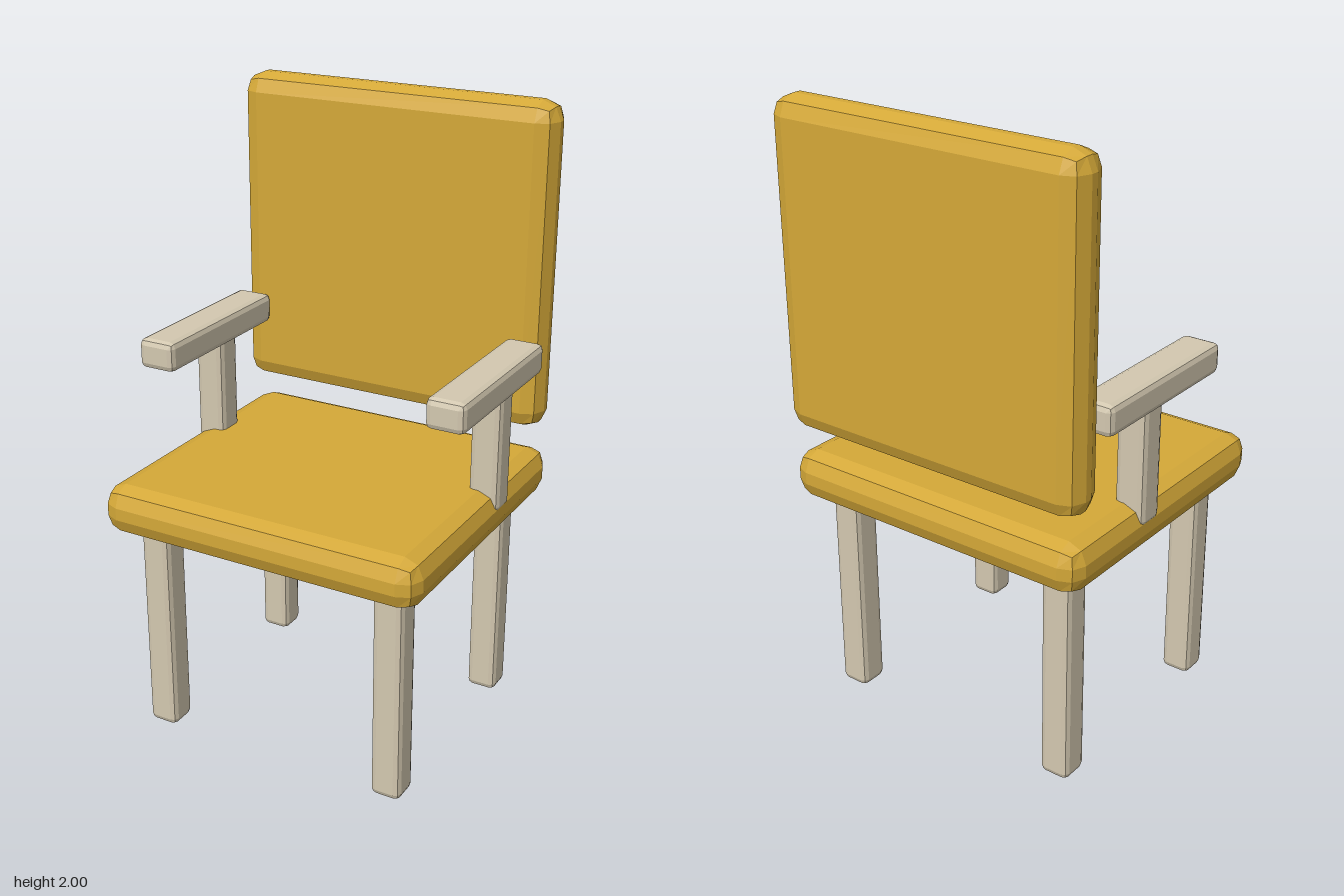
import * as THREE from 'three';
import { RoundedBoxGeometry } from 'three/addons/geometries/RoundedBoxGeometry.js';

export function createModel() {
  const chair = new THREE.Group();
  chair.name = 'armchair';

  const cushion = new THREE.MeshStandardMaterial({ color: 0xd4a838, flatShading: true });
  cushion.name = 'mustard cushion';
  const frame = new THREE.MeshStandardMaterial({ color: 0xd3c8b0, flatShading: true });
  frame.name = 'beige frame';

  // Bevelled block spanning [min, max] on each axis
  function block(name, material, [x0, x1], [y0, y1], [z0, z1], bevel) {
    const geometry = new RoundedBoxGeometry(x1 - x0, y1 - y0, z1 - z0, 1, bevel);
    const mesh = new THREE.Mesh(geometry, material);
    mesh.position.set((x0 + x1) / 2, (y0 + y1) / 2, (z0 + z1) / 2);
    mesh.name = name;
    chair.add(mesh);
  }

  // Cushions
  block('seat', cushion, [-0.543, 0.543], [0.71, 0.87], [-0.493, 0.497], 0.06);
  block('backrest', cushion, [-0.543, 0.543], [0.955, 2], [-0.5, -0.355], 0.06);

  // Legs, armrest posts and armrests, mirrored left and right
  for (const [side, s] of [['left', 1], ['right', -1]]) {
    const span = (a, b) => (s > 0 ? [a, b] : [-b, -a]);
    block(side + 'FrontLeg', frame, span(0.362, 0.462), [0, 0.77], [0.305, 0.405], 0.02);
    block(side + 'BackLeg', frame, span(0.362, 0.462), [0, 0.77], [-0.402, -0.302], 0.02);
    block(side + 'ArmPost', frame, span(0.447, 0.547), [0.8, 1.22], [-0.155, -0.055], 0.02);
    block(side + 'Armrest', frame, span(0.433, 0.559), [1.172, 1.27], [-0.35, 0.237], 0.02);
  }

  return chair;
}
